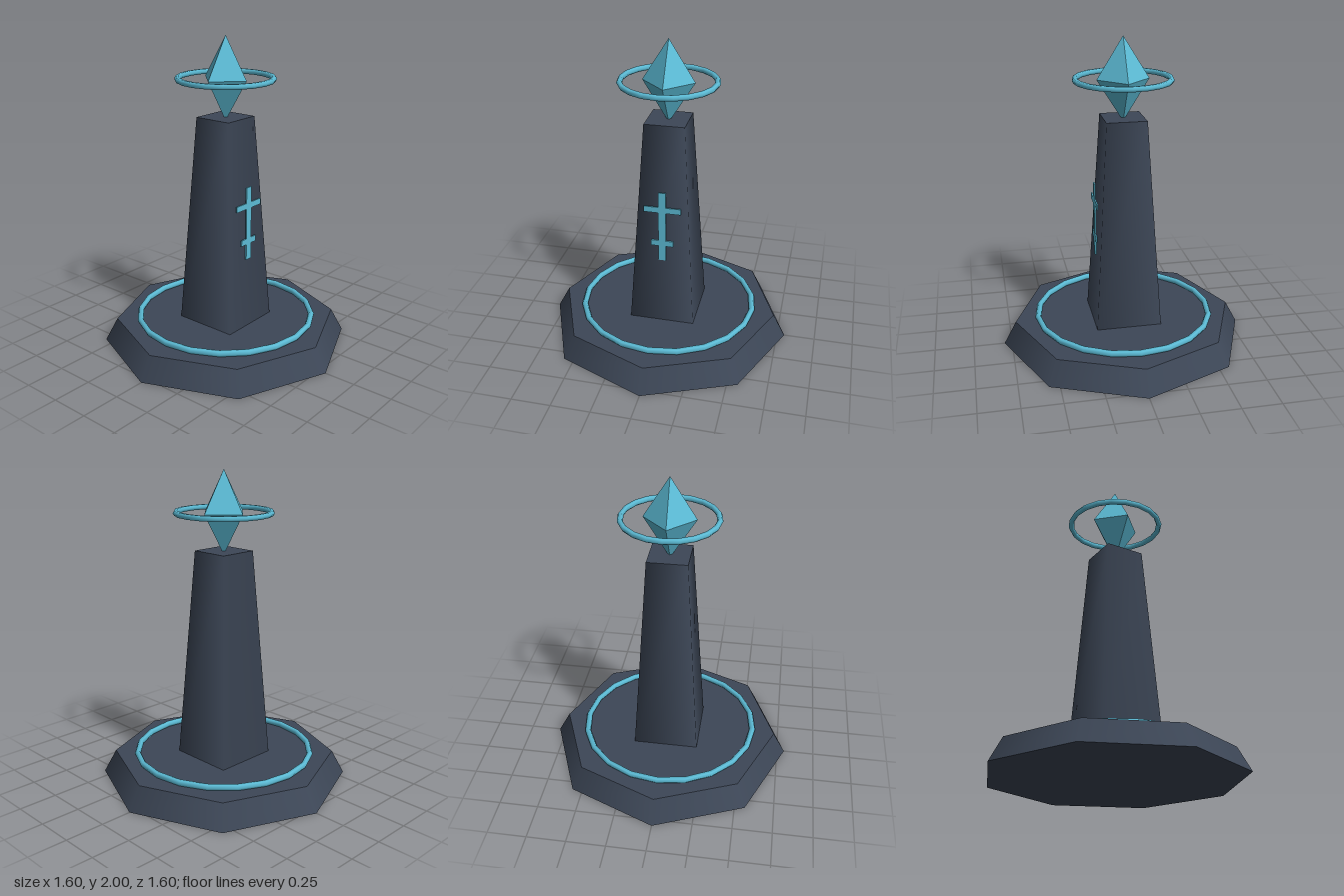
import * as THREE from 'three';

export function createModel() {
  const model = new THREE.Group();
  const stone = new THREE.MeshStandardMaterial({ color: 0x3d4757 });
  stone.name = 'dark slate stone';
  const glow = new THREE.MeshStandardMaterial({ color: 0x5cbcd6 });
  glow.name = 'pale cyan crystal';

  const add = (name, geometry, material, y, parent = model) => {
    const mesh = new THREE.Mesh(geometry, material);
    mesh.name = name;
    mesh.position.y = y;
    parent.add(mesh);
    return mesh;
  };
  const ring = (radius, tube) => new THREE.TorusGeometry(radius, tube, 6, 20).rotateX(Math.PI / 2);

  // Octagonal plinth with a ring lying on it
  add('plinth', new THREE.CylinderGeometry(0.72, 0.8, 0.15, 8), stone, 0.075);
  add('plinthRing', ring(0.57, 0.02), glow, 0.17);

  // Tapered square pillar
  add('pillar', new THREE.CylinderGeometry(0.18, 0.297, 1.35, 4).rotateY(Math.PI / 4), stone, 0.825);

  // Double-barred sign on the front: [name, width, height, y]
  const sign = new THREE.Group();
  sign.name = 'frontSign';
  sign.position.z = 0.186;
  model.add(sign);
  for (const [name, w, h, y] of [
    ['signStem', 0.048, 0.48, 0.84],
    ['signUpperBar', 0.236, 0.038, 0.96],
    ['signLowerBar', 0.142, 0.038, 0.723],
  ]) add(name, new THREE.BoxGeometry(w, h, 0.009), glow, y, sign);

  // Floating crystal and its halo
  add('crystal', new THREE.OctahedronGeometry(0.164).scale(1, 1.6, 1), glow, 1.7376);
  add('crystalRing', ring(0.296, 0.018), glow, 1.7376);

  return model;
}
